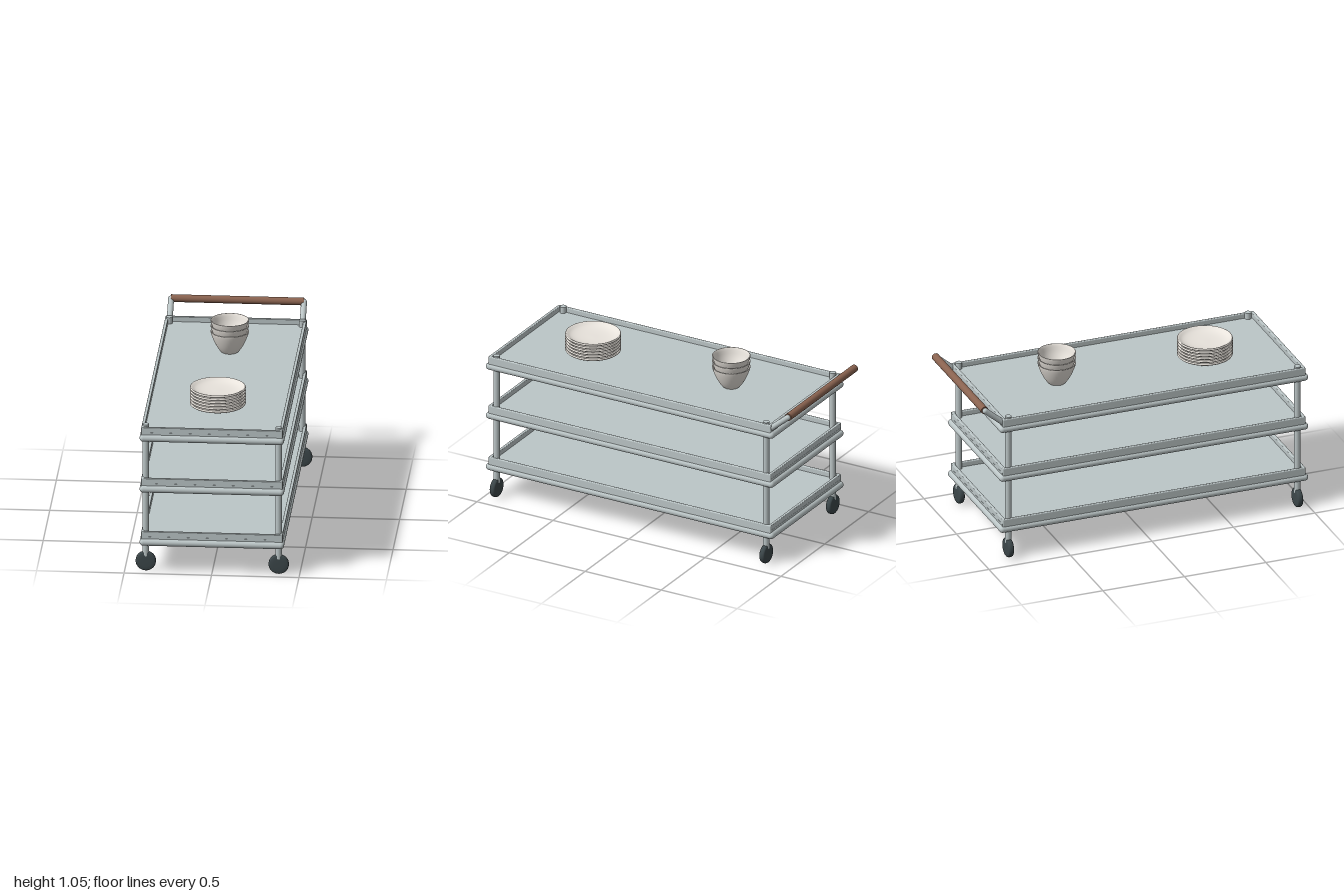
import * as THREE from 'three';
import { RoundedBoxGeometry } from 'three/addons/geometries/RoundedBoxGeometry.js';

const material = (color) => new THREE.MeshStandardMaterial({ color });
const metal = material(0xbcc6c7);
const wood = material(0x8a6350);
const rubber = material(0x3c474a);
const china = material(0xe8e3dc);
china.side = THREE.DoubleSide;

const MID_Z = 0.053; // centre of the trays along z
const POST_X = 0.38, POST_Z = 0.887;

function add(parent, name, geometry, mat, x = 0, y = 0, z = 0) {
  const mesh = new THREE.Mesh(geometry, mat);
  mesh.name = name;
  mesh.position.set(x, y, z);
  parent.add(mesh);
  return mesh;
}

// Smooth lathe through rounded profile points
function lathe(points, divisions = 28) {
  const curve = new THREE.CatmullRomCurve3(points.map(([r, y]) => new THREE.Vector3(r, y, 0)), false, 'centripetal');
  const profile = curve.getPoints(divisions).map((p) => new THREE.Vector2(Math.max(p.x, 0), p.y));
  return new THREE.LatheGeometry(profile, 48);
}

// Round bar between two points
function bar(parent, name, from, to, radius, mat) {
  const a = new THREE.Vector3(...from), b = new THREE.Vector3(...to);
  const dir = b.clone().sub(a);
  const mesh = add(parent, name, new THREE.CapsuleGeometry(radius, dir.length(), 8, 24), mat);
  mesh.position.copy(a).add(b).multiplyScalar(0.5);
  mesh.quaternion.setFromUnitVectors(new THREE.Vector3(0, 1, 0), dir.normalize());
  return mesh;
}

// Tray: floor, round bumper rail and upright rim; y is the rail centre
function createTray(y) {
  const tray = new THREE.Group();
  tray.name = 'tray';
  tray.position.set(0, y, MID_Z);
  const hx = 0.392, hz = 0.926, r = 0.021;
  add(tray, 'trayFloor', new THREE.BoxGeometry(0.79, 0.05, 1.86), metal, 0, 0.009, 0);
  for (const s of [-1, 1]) {
    bar(tray, 'sideRail', [s * hx, 0, -hz], [s * hx, 0, hz], r, metal);
    bar(tray, 'endRail', [-hx, 0, s * hz], [hx, 0, s * hz], r, metal);
    add(tray, 'sideRim', new RoundedBoxGeometry(0.018, 0.063, 1.858, 3, 0.006), metal, s * 0.395, 0.0325, 0);
    add(tray, 'endRim', new RoundedBoxGeometry(0.786, 0.063, 0.018, 3, 0.004), metal, 0, 0.0325, s * 0.92);
  }
  return tray;
}

// Wheel: disc with rounded shoulders, axle along z
function createWheel() {
  const profile = [[0, -0.018], [0.03, -0.018], [0.05, -0.0165], [0.055, -0.013], [0.058, -0.006],
    [0.058, 0.006], [0.055, 0.013], [0.05, 0.0165], [0.03, 0.018], [0, 0.018]];
  const geometry = new THREE.LatheGeometry(profile.map(([r, y]) => new THREE.Vector2(r, y)), 40);
  return geometry.rotateX(Math.PI / 2);
}

export function createModel() {
  const cart = new THREE.Group();
  cart.name = 'servingCart';

  for (const y of [0.184, 0.507, 0.816]) cart.add(createTray(y));

  // Corner posts and casters
  const wheel = createWheel();
  const post = new THREE.CylinderGeometry(0.019, 0.019, 0.798, 28);
  for (const sx of [-1, 1]) {
    for (const sz of [-1, 1]) {
      const x = sx * POST_X, z = MID_Z + sz * POST_Z;
      add(cart, 'cornerPost', post, metal, x, 0.489, z);
      add(cart, 'wheel', wheel, rubber, x, 0.058, z);
    }
  }

  // Push handle at the back
  for (const s of [-1, 1]) {
    bar(cart, 'handleArm', [s * POST_X, 0.855, -0.868], [s * POST_X, 0.946, -0.976], 0.017, metal);
  }
  const grip = add(cart, 'handleGrip', new THREE.CylinderGeometry(0.022, 0.022, 0.76, 28), wood, 0, 0.948, -0.978);
  grip.rotation.z = Math.PI / 2;

  // Stack of plates near the front
  const plate = lathe([[0, 0], [0.05, 0], [0.1, 0.002], [0.135, 0.009], [0.157, 0.019], [0.16, 0.025],
    [0.157, 0.031], [0.152, 0.031], [0.13, 0.018], [0.1, 0.01], [0.05, 0.006], [0, 0.006]], 40);
  for (let i = 0; i < 6; i++) add(cart, 'plate', plate, china, 0, 0.85 + i * 0.0185, 0.524);

  // Nested bowls near the back
  const bowl = lathe([[0, 0], [0.043, 0], [0.052, 0.006], [0.073, 0.035], [0.095, 0.08], [0.109, 0.121],
    [0.109, 0.127], [0.104, 0.126], [0.088, 0.08], [0.066, 0.037], [0.045, 0.013], [0, 0.008]], 40);
  for (let i = 0; i < 3; i++) add(cart, 'bowl', bowl, china, 0, 0.85 + i * 0.034, -0.385);

  return cart;
}
